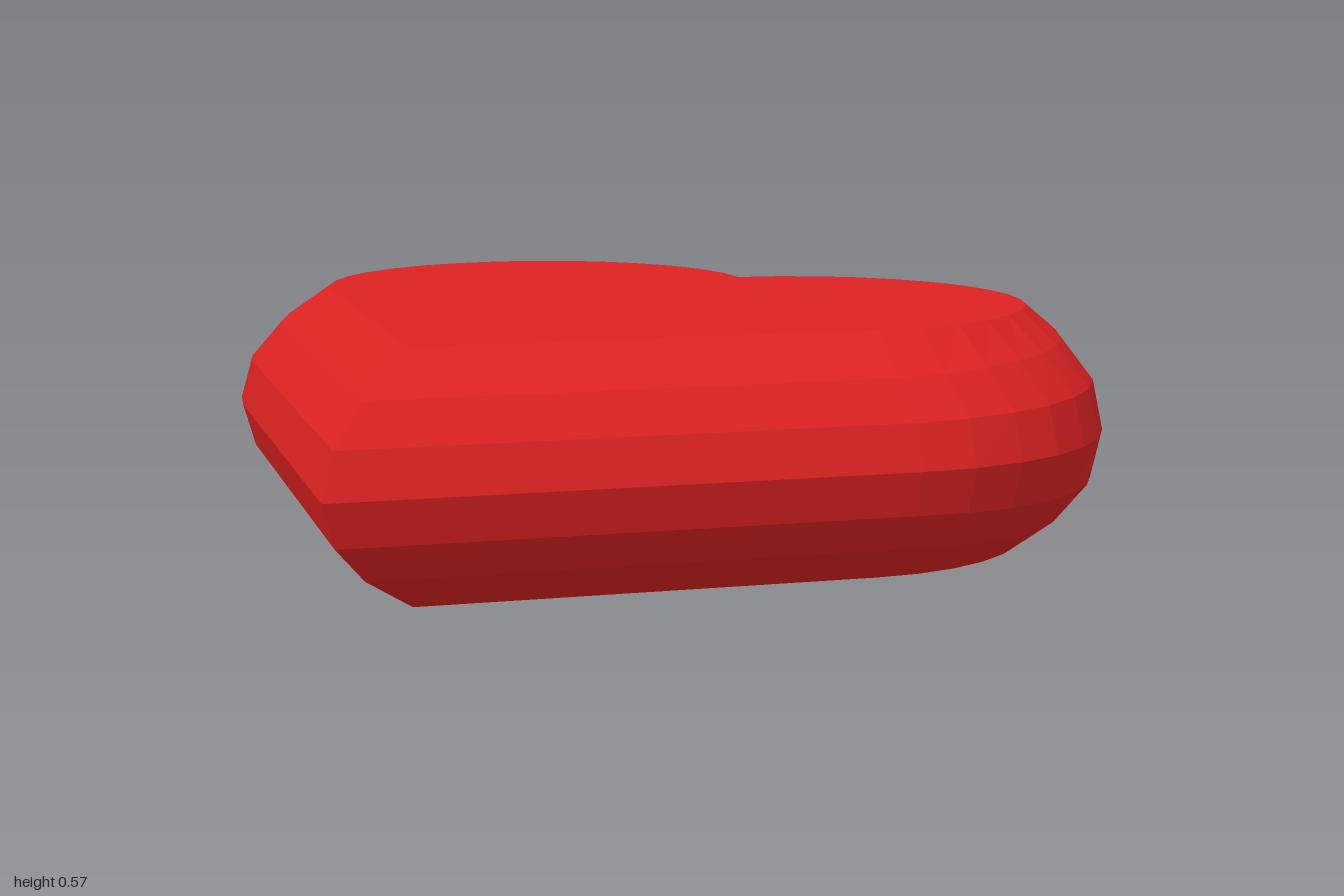
import * as THREE from 'three';

const R = 2 / 3, C = 1 / 3, SEG = 16, HALF = 0.2875;

// Heart outline, counter-clockwise from above: [x, z, t], t = progress round a lobe
function heartOutline() {
  const pts = [[-1, 1, 0]];
  for (let i = 0; i <= SEG; i++) {
    const a = Math.PI * (i / SEG - 0.5);
    pts.push([C + R * Math.cos(a), C - R * Math.sin(a), i / SEG]);
  }
  // second lobe mirrors the first across the heart's diagonal
  for (let i = SEG; i > 1; i--) {
    const [x, z, t] = pts[i];
    pts.push([-z, -x, t]);
  }
  const [x, z, t] = pts[1];
  pts.push([-z, -x, t]);
  return pts;
}

// Bevel levels: scale, shift along the diagonal, height at the straight sides and at the notch
const BEVEL = [
  [1, 0, 0, 0],
  [0.975, 0.005, 0.105, 0.14],
  [0.903, 0.008, 0.195, 0.255],
  [0.81, 0.04, HALF, HALF],
];

function heartGeometry() {
  const outline = heartOutline(), n = outline.length;
  const levels = [
    ...BEVEL.slice(1).reverse().map((l) => [...l, -1]),
    ...BEVEL.map((l) => [...l, 1]),
  ];
  const pos = [], index = [];
  for (const [s, shift, h0, h1, sign] of levels) {
    for (const [x, z, t] of outline) {
      pos.push(x * s + shift, HALF + sign * (h0 + (h1 - h0) * t), z * s - shift);
    }
  }
  const bottom = pos.length / 3, top = bottom + 1, last = (levels.length - 1) * n;
  pos.push(0, 0, 0, 0, HALF * 2, 0);
  for (let i = 0; i < n; i++) {
    const j = (i + 1) % n;
    // rounded sides
    for (let k = 0; k < last; k += n) {
      index.push(k + i, k + j, k + n + j, k + i, k + n + j, k + n + i);
    }
    // flat faces
    index.push(bottom, j, i, top, last + i, last + j);
  }
  const g = new THREE.BufferGeometry();
  g.setAttribute('position', new THREE.Float32BufferAttribute(pos, 3));
  g.setIndex(index);
  const flat = g.toNonIndexed();
  flat.computeVertexNormals();
  return flat;
}

export function createModel() {
  const group = new THREE.Group();
  group.name = 'heart';
  const red = new THREE.MeshStandardMaterial({ color: 0xdd2222, flatShading: true });
  const body = new THREE.Mesh(heartGeometry(), red);
  body.name = 'heartBody';
  group.add(body);
  return group;
}
